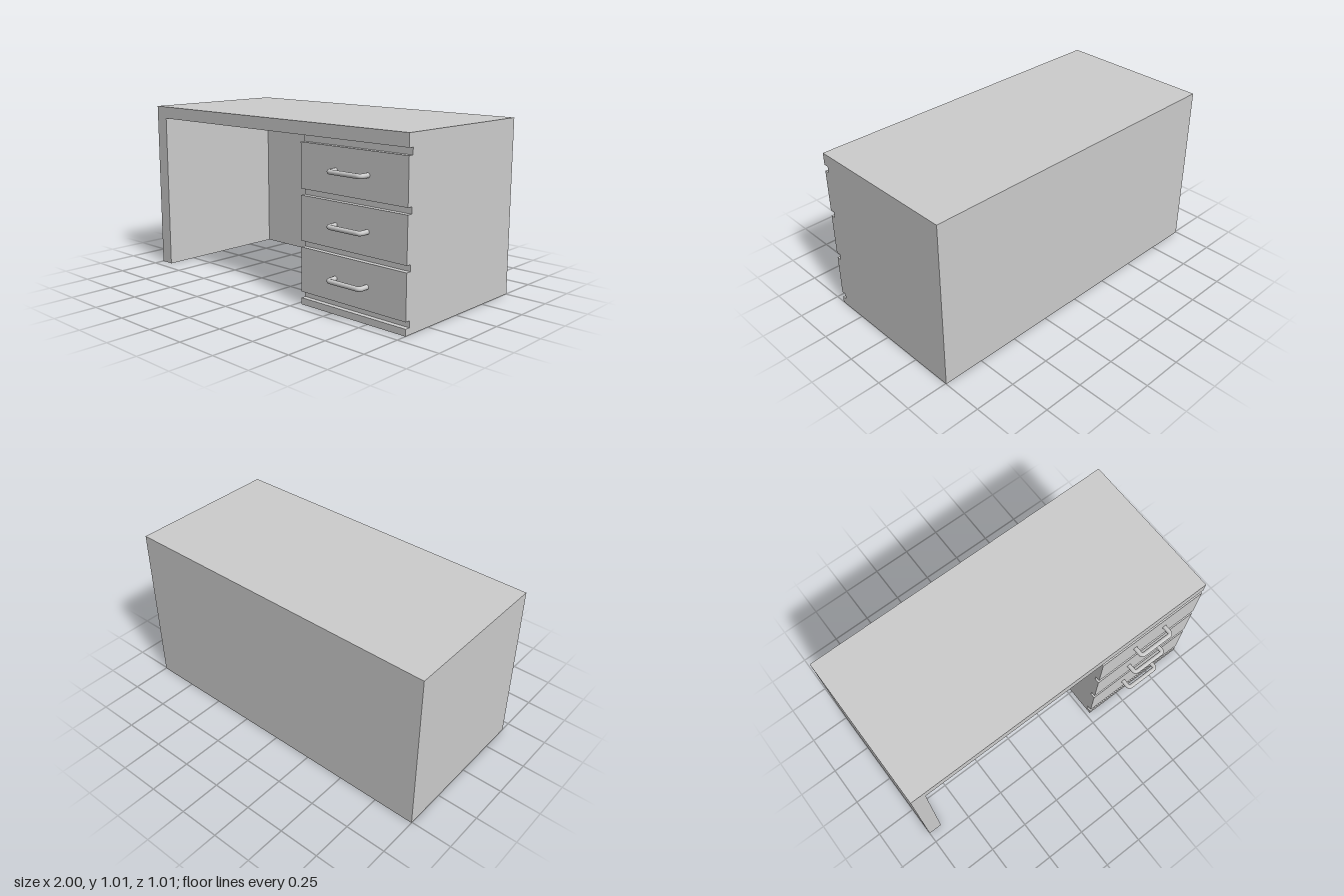
import * as THREE from 'three';

const WIDTH = 2, HEIGHT = 1.015, UNDER = 0.943;   // UNDER = underside of the top
const BACK = -0.505, FRONT = 0.435;
const PED_X = 0.275;                              // inner side of the drawer pedestal
const GROOVE_DEPTH = 0.03, GROOVE_H = 0.036, PITCH = 0.289, FIRST_GROOVE = 0.038;

export function createModel() {
  const desk = new THREE.Group();
  desk.name = 'desk';
  const material = new THREE.MeshStandardMaterial({ color: 0xcccccc });

  const add = (name, geometry) => {
    const mesh = new THREE.Mesh(geometry, material);
    mesh.name = name;
    desk.add(mesh);
    return mesh;
  };
  // box given by its limits on each axis
  const box = (name, x0, x1, y0, y1, z0, z1) =>
    add(name, new THREE.BoxGeometry(x1 - x0, y1 - y0, z1 - z0))
      .position.set((x0 + x1) / 2, (y0 + y1) / 2, (z0 + z1) / 2);

  // top, side panel and back panel
  box('desktop', -WIDTH / 2, WIDTH / 2, UNDER, HEIGHT, BACK, FRONT);
  box('sidePanel', -1, -0.915, 0, UNDER, BACK, FRONT);
  box('backPanel', -0.915, PED_X, 0, UNDER, BACK, BACK + 0.07);

  // pedestal: side profile with finger grooves, extruded across its width
  const profile = new THREE.Shape();
  profile.moveTo(-BACK, 0);
  profile.lineTo(-BACK, UNDER);
  for (let i = 3; i >= 0; i--) {
    const y = FIRST_GROOVE + i * PITCH, inner = -FRONT + GROOVE_DEPTH;
    if (i < 3) profile.lineTo(-FRONT, y + GROOVE_H);
    profile.lineTo(inner, i < 3 ? y + GROOVE_H : UNDER);
    profile.lineTo(inner, y);
    profile.lineTo(-FRONT, y);
  }
  profile.lineTo(-FRONT, 0);
  const pedestal = new THREE.ExtrudeGeometry(profile, { depth: 1 - PED_X, bevelEnabled: false });
  pedestal.rotateY(Math.PI / 2);
  add('drawerPedestal', pedestal).position.x = PED_X;

  // bent bar handles, one per drawer
  const x0 = 0.527, x1 = 0.745, z = 0.493, bend = 0.02;
  const v = (x, zz) => new THREE.Vector3(x, 0, zz);
  const path = new THREE.CurvePath();
  path.add(new THREE.LineCurve3(v(x0, FRONT - 0.005), v(x0, z - bend)));
  path.add(new THREE.QuadraticBezierCurve3(v(x0, z - bend), v(x0, z), v(x0 + bend, z)));
  path.add(new THREE.LineCurve3(v(x0 + bend, z), v(x1 - bend, z)));
  path.add(new THREE.QuadraticBezierCurve3(v(x1 - bend, z), v(x1, z), v(x1, z - bend)));
  path.add(new THREE.LineCurve3(v(x1, z - bend), v(x1, FRONT - 0.005)));
  const handle = new THREE.TubeGeometry(path, 80, 0.0135, 16);
  for (let i = 0; i < 3; i++) add('drawerHandle', handle).position.y = 0.2 + i * 0.29;

  return desk;
}
